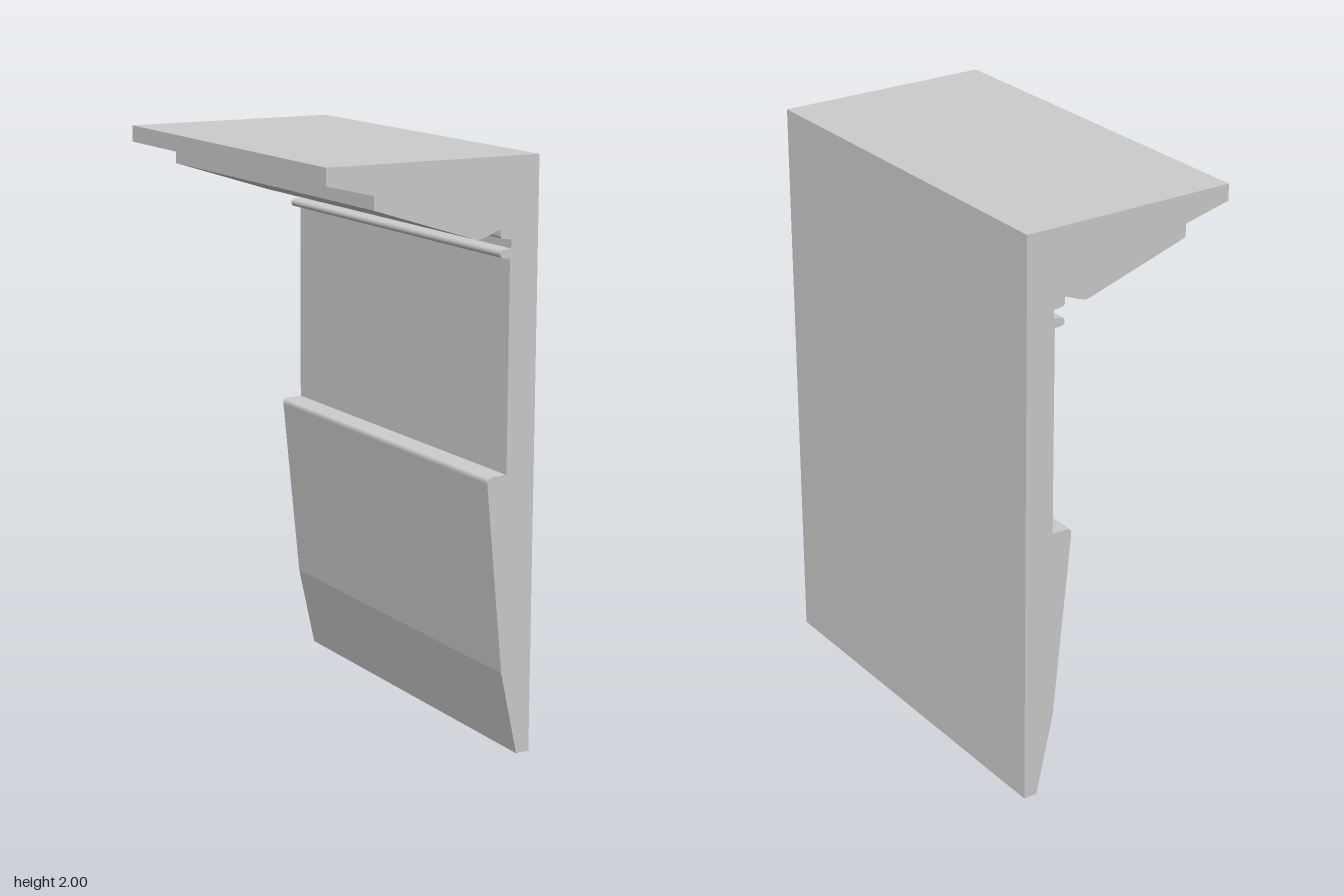
import * as THREE from 'three';

const DEPTH = 1.41;

export function createModel() {
  const group = new THREE.Group();
  group.name = 'mouldingSection';

  // Cross-section: tall wall with a cornice ledge on top and a skirting below
  const s = new THREE.Shape();
  s.moveTo(0.385, 0);
  s.lineTo(0.385, 2);
  s.lineTo(-0.387, 2);

  // Underside of the ledge, with its step
  s.lineTo(-0.387, 1.943);
  s.lineTo(-0.22, 1.903);
  s.lineTo(-0.22, 1.858);
  s.lineTo(0.145, 1.743);
  s.quadraticCurveTo(0.163, 1.737, 0.18, 1.744);
  s.lineTo(0.243, 1.768);

  // Small groove and rounded bead in the inner corner
  s.lineTo(0.243, 1.748);
  s.quadraticCurveTo(0.243, 1.737, 0.256, 1.737);
  s.lineTo(0.284, 1.733);
  s.lineTo(0.284, 1.704);
  s.lineTo(0.256, 1.702);
  s.absarc(0.257, 1.688, 0.014, Math.PI / 2, Math.PI * 1.5, false);
  s.lineTo(0.28, 1.672);

  // Wall face down to the rounded nose of the skirting
  s.lineTo(0.28, 0.963);
  s.lineTo(0.225, 0.961);
  s.quadraticCurveTo(0.205, 0.96, 0.207, 0.94);
  s.lineTo(0.272, 0.29);
  s.lineTo(0.336, 0);
  s.closePath();

  const geometry = new THREE.ExtrudeGeometry(s, {
    depth: DEPTH, bevelEnabled: false, curveSegments: 8,
  });
  geometry.translate(0, 0, -DEPTH / 2);

  const profile = new THREE.Mesh(
    geometry,
    new THREE.MeshStandardMaterial({ color: 0xcccccc }),
  );
  profile.name = 'profile';
  group.add(profile);
  return group;
}
